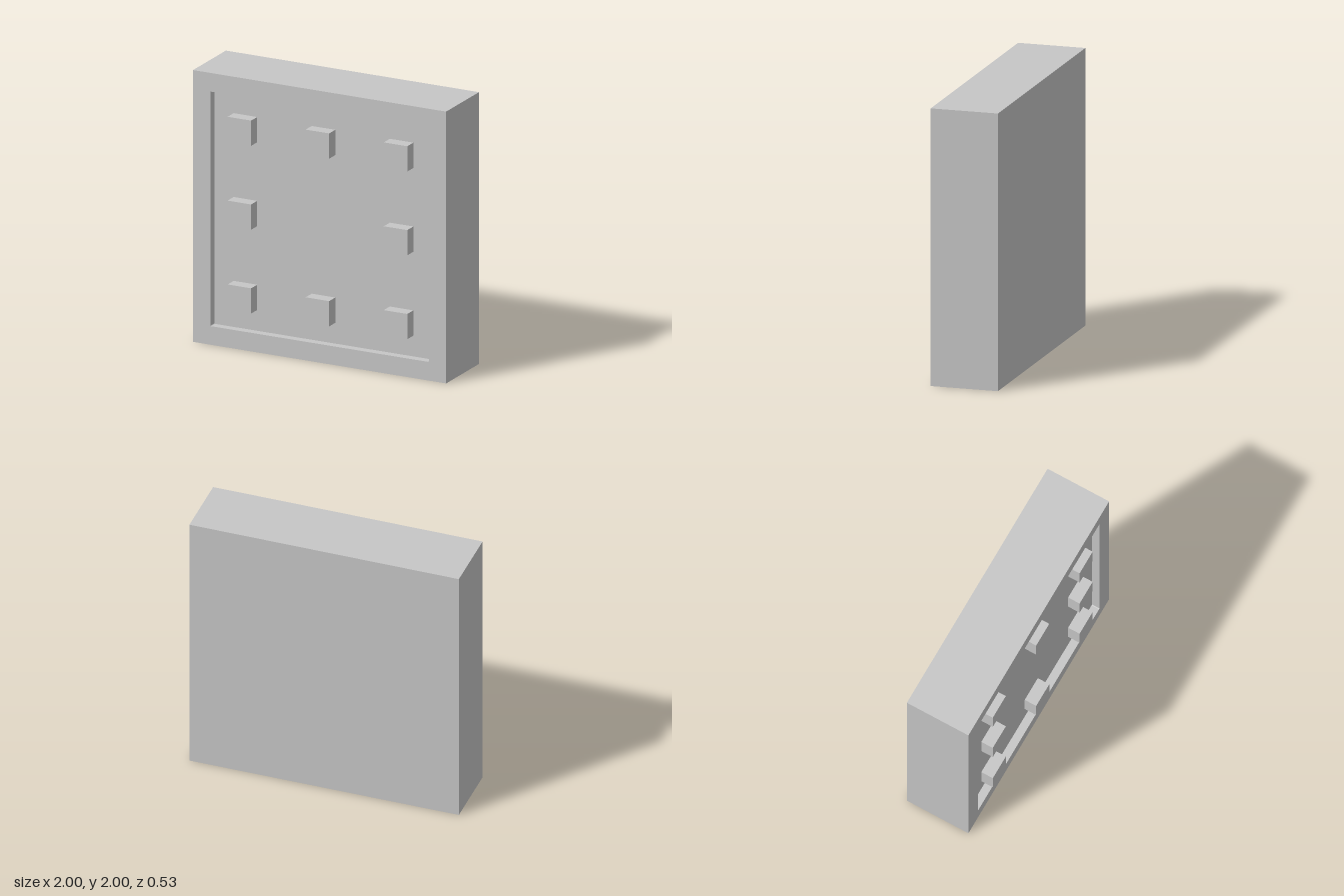
import * as THREE from 'three';

const BACK = -0.263, FLOOR = 0.171, RIM = 0.231, FRONT = 0.263;

// Square outline centred on the origin, with corners rounded by r
function roundedSquare(half, r) {
  const p = new THREE.Path();
  const c = half - r;
  p.absarc(c, c, r, 0, Math.PI / 2);
  p.absarc(-c, c, r, Math.PI / 2, Math.PI);
  p.absarc(-c, -c, r, Math.PI, Math.PI * 1.5);
  p.absarc(c, -c, r, Math.PI * 1.5, Math.PI * 2);
  p.closePath();
  return p;
}

export function createModel() {
  const model = new THREE.Group();
  model.name = 'studdedPanel';
  const grey = new THREE.MeshStandardMaterial({ color: 0xc6c6c6 });
  grey.name = 'lightGrey';

  const add = (name, geometry, x, y, z) => {
    const mesh = new THREE.Mesh(geometry, grey);
    mesh.name = name;
    mesh.position.set(x, y, z);
    model.add(mesh);
  };

  // Solid block behind the recess
  add('backBlock', new THREE.BoxGeometry(2, 2, FLOOR - BACK), 0, 1, (FLOOR + BACK) / 2);

  // Raised rim around the recess
  const rim = new THREE.Shape([
    new THREE.Vector2(-1, -1), new THREE.Vector2(1, -1),
    new THREE.Vector2(1, 1), new THREE.Vector2(-1, 1),
  ]);
  rim.holes.push(roundedSquare(0.863, 0.007));
  add('rim', new THREE.ExtrudeGeometry(rim, {
    depth: RIM - FLOOR, bevelEnabled: false, curveSegments: 4,
  }), 0, 1, FLOOR);

  // Eight square studs around an empty centre
  const stud = new THREE.BoxGeometry(0.186, 0.186, FRONT - FLOOR);
  for (const row of [-1, 0, 1]) {
    for (const col of [-1, 0, 1]) {
      if (row === 0 && col === 0) continue;
      add('stud', stud, col * 0.617, 1 + row * 0.617, (FRONT + FLOOR) / 2);
    }
  }
  return model;
}
